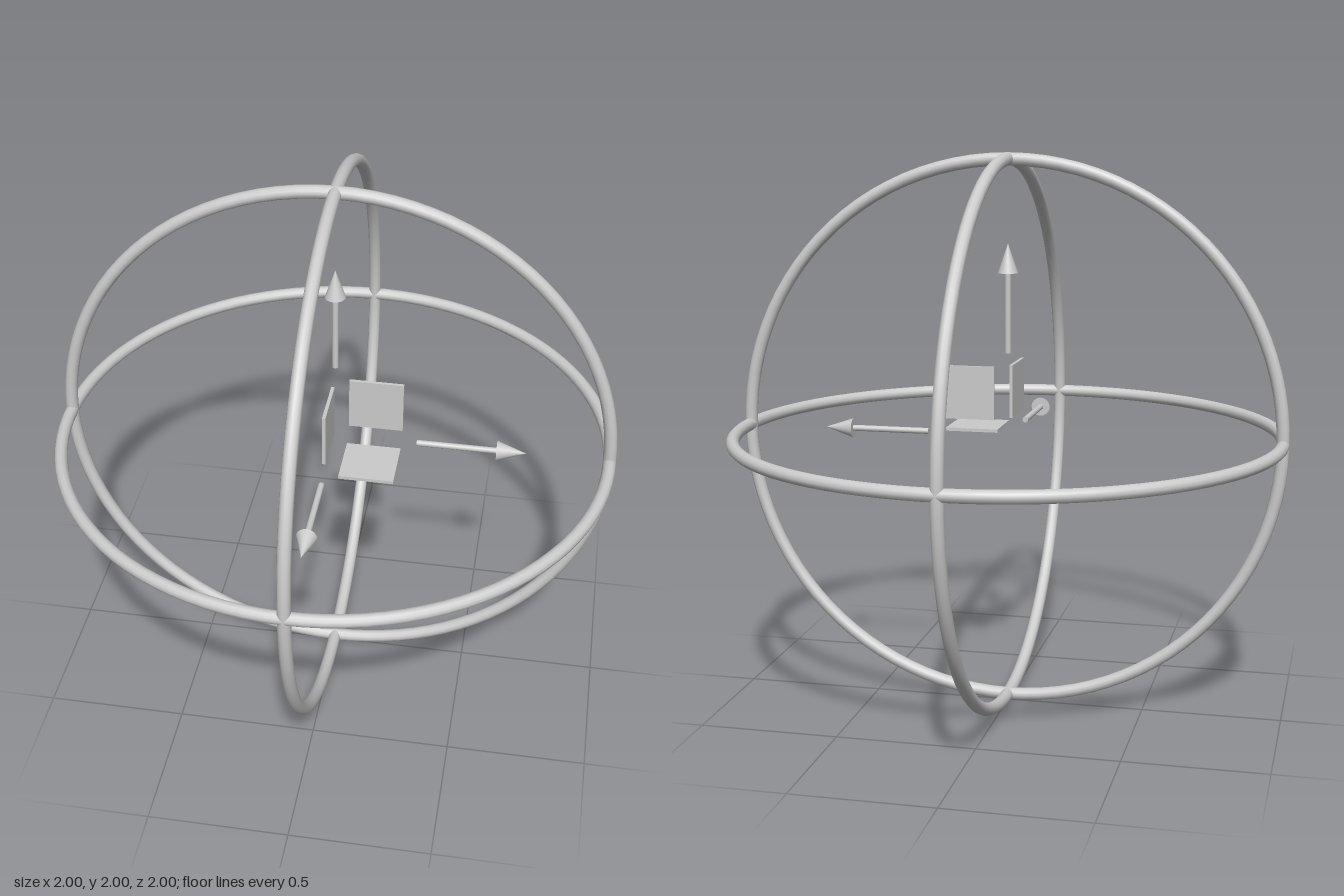
import * as THREE from 'three';

export function createModel() {
  const model = new THREE.Group();
  const gizmo = new THREE.Group();
  gizmo.name = 'gizmo';
  gizmo.position.y = 1;
  model.add(gizmo);
  const material = new THREE.MeshStandardMaterial({ color: 0xcccccc });

  const add = (parent, name, geometry) => {
    const mesh = new THREE.Mesh(geometry, material);
    mesh.name = name;
    parent.add(mesh);
    return mesh;
  };

  const ringGeo = new THREE.TorusGeometry(0.977, 0.023, 12, 96);
  const shaftGeo = new THREE.CylinderGeometry(0.011, 0.011, 0.285, 16).translate(0, 0.4375, 0);
  const headGeo = new THREE.ConeGeometry(0.036, 0.105, 24).translate(0, 0.6325, 0);
  const plateGeo = new THREE.BoxGeometry(0.193, 0.193, 0.012).translate(0.147, 0.147, 0);

  // One ring, arrow and plate per axis
  const axes = [
    { name: 'X', arrow: [0, 0, -Math.PI / 2], plane: [0, -Math.PI / 2, 0] },
    { name: 'Y', arrow: [0, 0, 0], plane: [Math.PI / 2, 0, 0] },
    { name: 'Z', arrow: [Math.PI / 2, 0, 0], plane: [0, 0, 0] },
  ];
  for (const { name, arrow, plane } of axes) {
    // Rotation ring around the axis
    add(gizmo, 'ring' + name, ringGeo).rotation.set(...plane);

    // Square plate in the plane across the axis
    add(gizmo, 'plate' + name, plateGeo).rotation.set(...plane);

    // Arrow pointing along the positive axis
    const arrowGroup = new THREE.Group();
    arrowGroup.name = 'arrow' + name;
    arrowGroup.rotation.set(...arrow);
    add(arrowGroup, 'shaft', shaftGeo);
    add(arrowGroup, 'head', headGeo);
    gizmo.add(arrowGroup);
  }
  return model;
}
